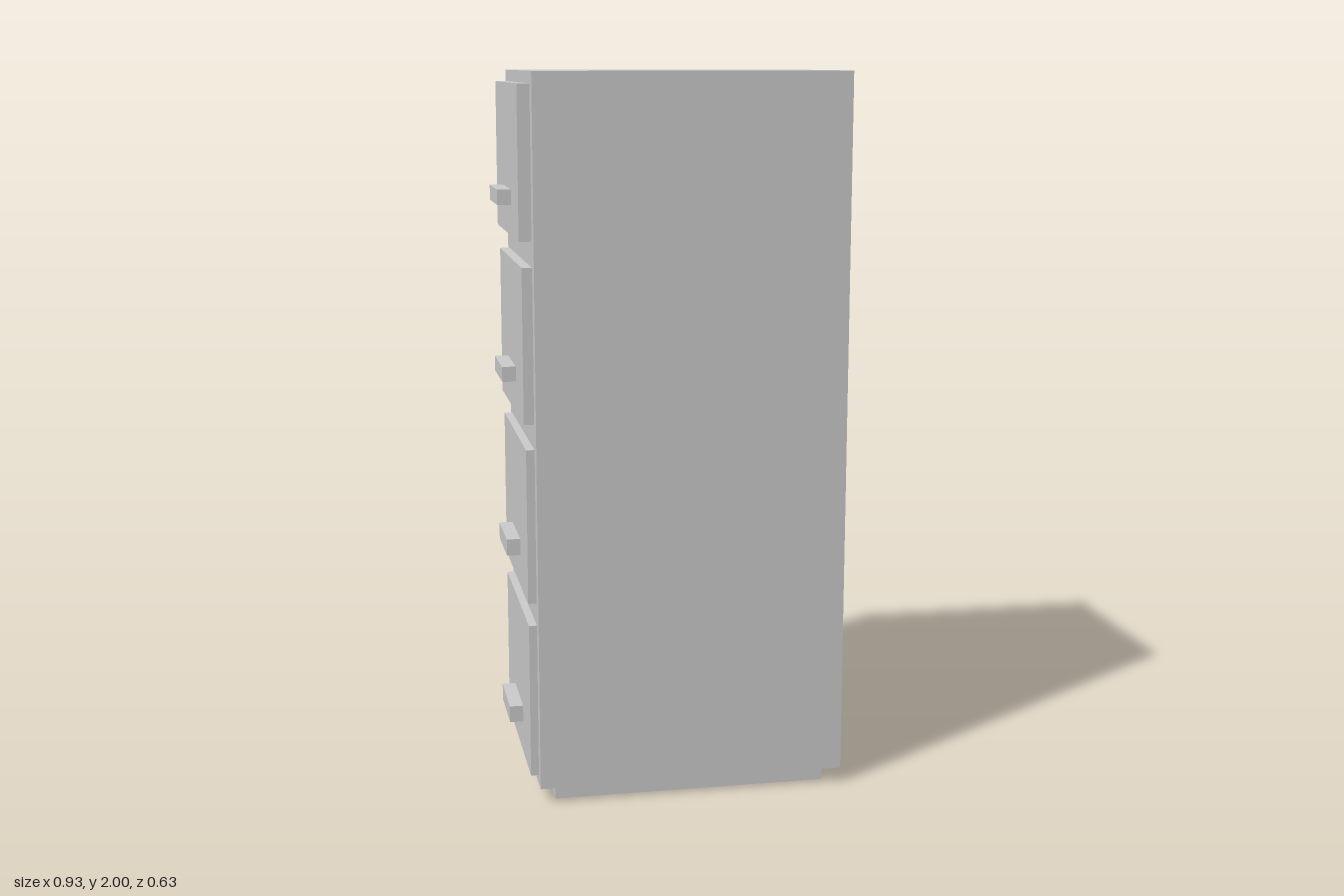
import * as THREE from 'three';

const material = new THREE.MeshStandardMaterial({ color: 0xcccccc });

// Box given by its extents along each axis
function block(name, [x0, x1], [y0, y1], [z0, z1]) {
  const mesh = new THREE.Mesh(new THREE.BoxGeometry(x1 - x0, y1 - y0, z1 - z0), material);
  mesh.name = name;
  mesh.position.set((x0 + x1) / 2, (y0 + y1) / 2, (z0 + z1) / 2);
  return mesh;
}

export function createModel() {
  const group = new THREE.Group();
  group.name = 'filingCabinet';
  const bodySide = -0.395; // cabinet face that carries the drawers

  // Cabinet body on a recessed plinth
  group.add(block('body', [bodySide, 0.465], [0.045, 2], [-0.313, 0.313]));
  group.add(block('plinth', [-0.35, 0.419], [0, 0.045], [-0.278, 0.278]));

  // Drawers from top to bottom, each slightly different in depth and height
  const drawers = [
    { face: -0.429, y: [1.558, 1.968], z: [-0.272, 0.27], handle: [1.642, 1.684] },
    { face: -0.423, y: [1.067, 1.489], z: [-0.275, 0.273], handle: [1.156, 1.198] },
    { face: -0.418, y: [0.569, 0.998], z: [-0.277, 0.274], handle: [0.66, 0.707] },
    { face: -0.417, y: [0.072, 0.506], z: [-0.278, 0.275], handle: [0.167, 0.214] },
  ];
  drawers.forEach(({ face, y, z, handle }, i) => {
    const drawer = new THREE.Group();
    drawer.name = `drawer${i + 1}`;
    drawer.add(block('drawerFront', [face, bodySide], y, z));
    drawer.add(block('handle', [face - 0.038, face], handle, [-0.1, 0.099]));
    group.add(drawer);
  });

  return group;
}
